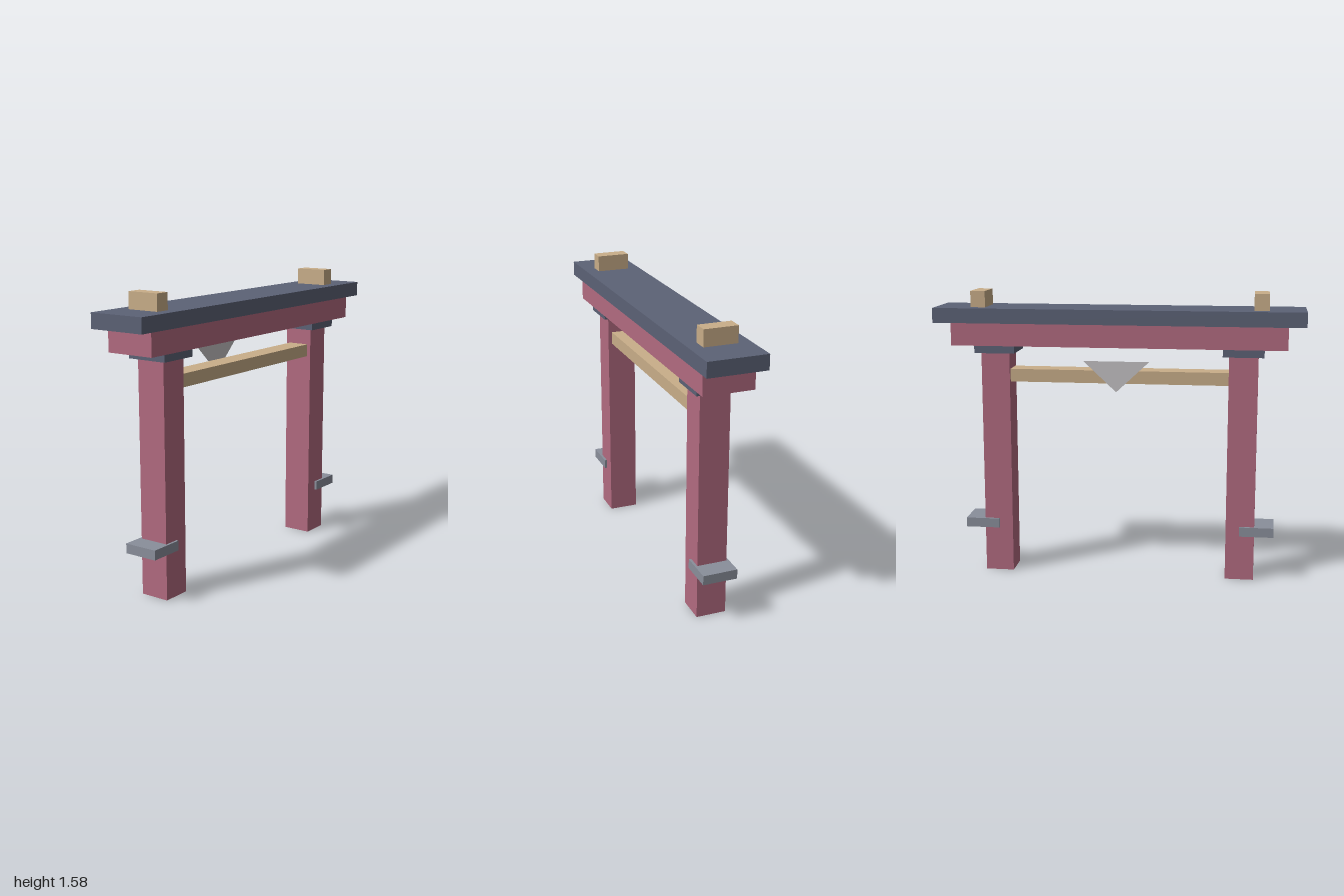
import * as THREE from 'three';

const mat = (name, color, extra = {}) => {
  const m = new THREE.MeshStandardMaterial({ color, ...extra });
  m.name = name;
  return m;
};

export function createModel() {
  const rose = mat('rosePaint', 0xb26b80);
  const slate = mat('slateBlue', 0x5c6276);
  const wood = mat('paleWood', 0xc9ae89);
  const stone = mat('greyStone', 0x8a8f9b);
  const paper = mat('paleGrey', 0xc5c2c4, { side: THREE.DoubleSide });

  const gate = new THREE.Group();
  gate.name = 'gate';

  // Box from its x and y limits and its half depth
  const box = (parent, name, material, x0, x1, y0, y1, halfZ) => {
    const mesh = new THREE.Mesh(new THREE.BoxGeometry(x1 - x0, y1 - y0, halfZ * 2), material);
    mesh.position.set((x0 + x1) / 2, (y0 + y1) / 2, 0);
    mesh.name = name;
    parent.add(mesh);
  };

  // Horizontal members
  box(gate, 'roofSlab', slate, -1, 1, 1.408, 1.488, 0.158);
  box(gate, 'lintel', rose, -0.906, 0.906, 1.284, 1.408, 0.136);
  box(gate, 'tieBeam', wood, -0.597, 0.597, 1.08, 1.15, 0.06);

  // Mirrored post, capital, foot plate and roof block on each side
  for (const [name, s] of [['left', 1], ['right', -1]]) {
    const side = new THREE.Group();
    side.name = name + 'Side';
    const part = (n, m, a, b, ...rest) =>
      box(side, n, m, Math.min(a * s, b * s), Math.max(a * s, b * s), ...rest);
    part('post', rose, 0.597, 0.753, 0, 1.241, 0.081);
    part('capital', slate, 0.564, 0.784, 1.241, 1.284, 0.113);
    part('footPlate', stone, 0.671, 0.859, 0.25, 0.302, 0.094);
    part('roofBlock', wood, 0.724, 0.804, 1.488, 1.576, 0.09);
    gate.add(side);
  }

  // Flat triangular pennant behind the tie beam
  const triangle = new THREE.Shape([
    new THREE.Vector2(-0.177, 1.215),
    new THREE.Vector2(0, 1.049),
    new THREE.Vector2(0.177, 1.215),
  ]);
  const pennant = new THREE.Mesh(new THREE.ShapeGeometry(triangle), paper);
  pennant.position.z = -0.156;
  pennant.name = 'pennant';
  gate.add(pennant);

  return gate;
}
